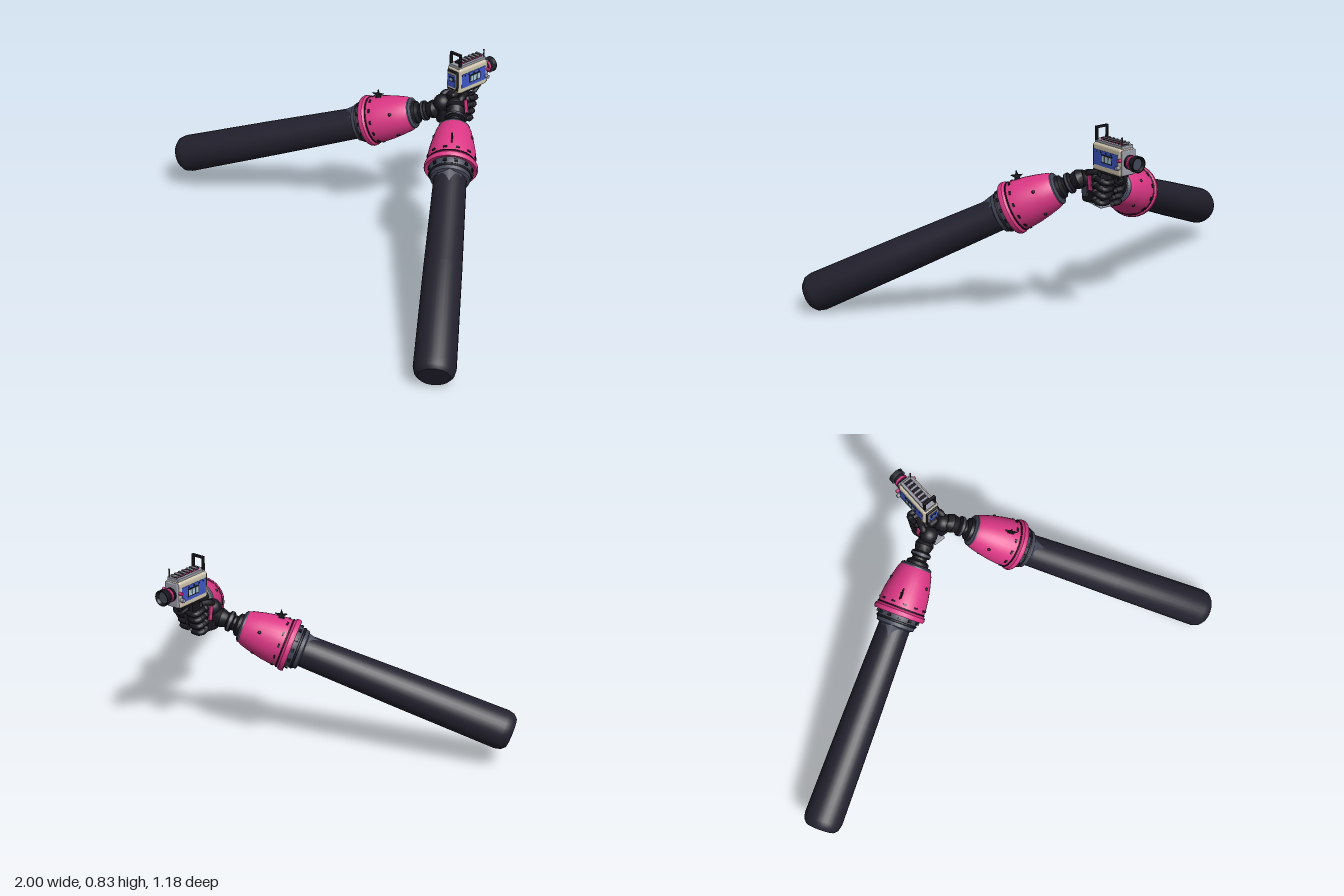
import * as THREE from 'three';
import { RoundedBoxGeometry } from 'three/addons/geometries/RoundedBoxGeometry.js';
import { toCreasedNormals } from 'three/addons/utils/BufferGeometryUtils.js';

const paint = (name, color) => {
  const m = new THREE.MeshStandardMaterial({ color, side: THREE.DoubleSide });
  m.name = name;
  return m;
};
const sleeveDark = paint('sleeve navy', 0x22212e), pink = paint('armour pink', 0xdc3785),
  slate = paint('slate', 0x424556), black = paint('glove black', 0x18181f),
  cream = paint('camera cream', 0xcfc6ae), blue = paint('panel blue', 0x3f56c6),
  glass = paint('screen pale blue', 0xa9cbd9), grey = paint('metal grey', 0x9b9ca8);

const V = (x, y, z) => new THREE.Vector3(x, y, z);
function add(parent, name, geo, mat, x = 0, y = 0, z = 0) {
  const m = new THREE.Mesh(geo, mat);
  m.name = name;
  m.position.set(x, y, z);
  parent.add(m);
  return m;
}
const box = (w, h, d) => new THREE.BoxGeometry(w, h, d);
const rbox = (w, h, d, r) => new RoundedBoxGeometry(w, h, d, 2, r);
const cyl = (a, b, h, n = 20) => new THREE.CylinderGeometry(a, b, h, n);
const lathe = (pts, n = 32) =>
  toCreasedNormals(new THREE.LatheGeometry(pts.map(p => new THREE.Vector2(...p)), n), 0.6);
const tube = (pts, r, n = 16) =>
  new THREE.TubeGeometry(new THREE.CatmullRomCurve3(pts, false, 'centripetal'), n, r, 8);

// One arm: local +y runs along the arm to the hand, +z is its upper side
function arm(name, start, end) {
  const g = new THREE.Group();
  g.name = name;
  const y = start.clone().sub(end).normalize();
  const z = V(0, 1, 0).addScaledVector(y, -y.y).normalize();
  g.quaternion.setFromRotationMatrix(new THREE.Matrix4().makeBasis(V().crossVectors(y, z), y, z));
  g.position.copy(start);
  const L = start.distanceTo(end);

  add(g, 'sleeve', lathe([[0, -L], [0.062, -L], [0.076, -L + 0.015], [0.082, -L + 0.04],
    [0.076, -L / 2], [0.067, -0.05], [0.067, 0.02]]), sleeveDark);
  add(g, 'cuff', lathe([[0.068, -0.05], [0.08, -0.045], [0.086, -0.015], [0.09, -0.005], [0.09, 0.02]]), slate);
  add(g, 'cuffWedge', cyl(0.07, 0.045, 0.11, 6), slate, 0, -0.045, 0.022);
  add(g, 'cuffRing', new THREE.TorusGeometry(0.083, 0.005, 8, 32), black, 0, -0.025, 0).rotation.x = Math.PI / 2;

  // Pink forearm guard
  add(g, 'guard', lathe([[0.09, 0.005], [0.106, 0], [0.11, 0.008], [0.109, 0.02], [0.1, 0.03], [0.1, 0.06],
    [0.095, 0.1], [0.085, 0.15], [0.073, 0.195], [0.064, 0.212], [0.045, 0.214]]), pink);
  add(g, 'guardSeam', new THREE.TorusGeometry(0.101, 0.003, 6, 40), black, 0, 0.032, 0).rotation.x = Math.PI / 2;
  add(g, 'guardCollar', lathe([[0.066, 0.205], [0.066, 0.215], [0.056, 0.222], [0.04, 0.222]]), slate);
  for (let i = 0; i < 12; i++) {
    const a = (i + 0.5) / 12 * Math.PI * 2;
    const slot = add(g, 'guardSlot', box(0.016, 0.008, 0.006), black, Math.sin(a) * 0.1, 0.05, Math.cos(a) * 0.1);
    slot.rotation.y = a;
    const stud = add(g, 'cuffStud', box(0.014, 0.012, 0.006), black, Math.sin(a) * 0.09, -0.008, Math.cos(a) * 0.09);
    stud.rotation.y = a;
  }
  for (const a of [-1.1, 1.1, 2.4, -2.4])
    add(g, 'guardRivet', new THREE.SphereGeometry(0.007, 8, 6), black, Math.sin(a) * 0.086, 0.14, Math.cos(a) * 0.086);

  // Small spiky star on the upper side
  const star = new THREE.Shape();
  for (let i = 0; i < 10; i++) {
    const r = i % 2 ? 0.01 : 0.027, a = i * Math.PI / 5;
    star[i ? 'lineTo' : 'moveTo'](Math.sin(a) * r, Math.cos(a) * r);
  }
  const starGeo = new THREE.ExtrudeGeometry(star, { depth: 0.006, bevelEnabled: false });
  add(g, 'starFin', starGeo, black, 0.003, 0.085, 0.108).rotation.y = -Math.PI / 2;

  // Ringed wrist
  add(g, 'wrist', lathe([[0.05, 0.21], [0.047, 0.235], [0.032, 0.245], [0.032, 0.255], [0.042, 0.26],
    [0.042, 0.275], [0.031, 0.282], [0.036, 0.295], [0.04, 0.31], [0.03, 0.335], [0, 0.335]], 20), black);
  add(g, 'wristBand', cyl(0.043, 0.043, 0.007), slate, 0, 0.268, 0);
  return g;
}

// Gloved hand; side is +1 for the left, -1 for the right
function hand(name, side, y0) {
  const g = new THREE.Group();
  g.name = name;
  g.position.set(0.145, y0, 0);
  const palm = add(g, 'palm', rbox(0.05, 0.12, 0.085, 0.016), black, side * 0.036, 0.595, -0.352);
  palm.rotation.x = 0.12;
  add(g, 'palmHeel', new THREE.SphereGeometry(0.038, 16, 12), black, side * 0.038, 0.625, -0.335);
  add(g, 'backPlate', rbox(0.008, 0.06, 0.02, 0.003), pink, side * 0.062, 0.62, -0.373).rotation.x = 0.12;
  add(g, 'backPad', rbox(0.008, 0.07, 0.035, 0.003), slate, side * 0.06, 0.595, -0.34).rotation.x = 0.12;
  for (let i = 0; i < 4; i++) {
    const y = 0.64 - i * 0.029, z = -0.45 + i * 0.009;
    add(g, 'finger', tube([V(side * 0.045, y + 0.006, -0.38), V(side * 0.053, y, z + 0.025),
      V(side * 0.046, y - 0.006, z), V(side * 0.01, y - 0.008, z)], 0.012), black);
    add(g, 'knuckle', new THREE.SphereGeometry(0.015, 10, 8), black, side * 0.05, y + 0.004, -0.392);
    add(g, 'fingerJoint', new THREE.SphereGeometry(0.0145, 10, 8), black, side * 0.051, y - 0.003, z + 0.014);
  }
  add(g, 'thumb', tube([V(side * 0.045, 0.625, -0.34), V(side * 0.05, 0.655, -0.355), V(side * 0.035, 0.66, -0.4)], 0.014), black);
  return g;
}

function camera() {
  const g = new THREE.Group();
  g.name = 'camera';
  g.position.set(0.145, 0.725, -0.442);
  add(g, 'body', rbox(0.076, 0.112, 0.168, 0.012), cream);
  add(g, 'rearPlate', rbox(0.06, 0.088, 0.012, 0.004), black, 0, 0, 0.084);
  add(g, 'rearFrame', box(0.05, 0.068, 0.006), cream, 0, 0, 0.09);
  add(g, 'rearPanel', box(0.04, 0.055, 0.006), blue, 0, 0, 0.092);
  add(g, 'rearScreen', box(0.024, 0.02, 0.006), black, 0, 0.008, 0.094);
  add(g, 'rearDisplay', box(0.016, 0.012, 0.006), glass, 0, 0.008, 0.0955);
  add(g, 'frontPlate', rbox(0.066, 0.1, 0.012, 0.004), grey, 0, 0, -0.086);

  // Painted side panels with display and buttons
  for (const s of [-1, 1]) {
    add(g, 'sidePanel', box(0.005, 0.062, 0.142), blue, s * 0.037, 0, 0);
    add(g, 'screenFrame', box(0.005, 0.034, 0.064), black, s * 0.0385, 0, -0.006);
    for (const z of [-0.026, -0.006, 0.014])
      add(g, 'screenCell', box(0.005, 0.024, 0.016), glass, s * 0.04, 0, z);
    for (const z of [-0.03, 0, 0.03, 0.055])
      add(g, 'button', box(0.005, 0.005, 0.007), black, s * 0.0385, 0.023, z);
    add(g, 'sideKnob', cyl(0.008, 0.008, 0.016, 10), grey, s * 0.045, -0.018, -0.075).rotation.z = Math.PI / 2;
    add(g, 'sideDial', cyl(0.007, 0.007, 0.014, 10), pink, s * 0.043, 0.012, -0.082).rotation.z = Math.PI / 2;
  }

  // Top rail, loop handle and antenna
  add(g, 'topPlate', box(0.056, 0.012, 0.16), grey, 0, 0.06, 0);
  add(g, 'topRail', box(0.03, 0.012, 0.13), black, 0, 0.068, -0.006);
  for (let i = 0; i < 6; i++) {
    add(g, 'railKnob', cyl(0.004, 0.004, 0.034, 8), pink, 0, 0.07, 0.05 - i * 0.022).rotation.z = Math.PI / 2;
    add(g, 'railCross', box(0.036, 0.004, 0.008), grey, 0, 0.074, 0.04 - i * 0.022);
  }
  for (const s of [-1, 1]) add(g, 'handlePost', box(0.007, 0.056, 0.012), black, s * 0.026, 0.09, 0.071);
  add(g, 'handleBar', box(0.059, 0.008, 0.012), black, 0, 0.114, 0.071);
  add(g, 'antenna', cyl(0.002, 0.003, 0.04, 8), slate, 0.022, 0.078, -0.075);
  add(g, 'antennaTip', new THREE.SphereGeometry(0.004, 8, 6), black, 0.022, 0.096, -0.075);

  // Lens barrel pointing backward
  const lens = new THREE.Group();
  lens.name = 'lens';
  lens.rotation.x = -Math.PI / 2;
  lens.position.set(0, 0.003, -0.088);
  g.add(lens);
  add(lens, 'barrel', lathe([[0.027, 0], [0.029, 0.012], [0.025, 0.014], [0.025, 0.04], [0.031, 0.044],
    [0.033, 0.06], [0.029, 0.06], [0.024, 0.048], [0, 0.048]], 24), black);
  add(lens, 'focusRing', cyl(0.029, 0.029, 0.009, 24), pink, 0, 0.023, 0);
  add(lens, 'hoodRing', cyl(0.033, 0.033, 0.004, 24), slate, 0, 0.042, 0);
  add(lens, 'glass', new THREE.CircleGeometry(0.022, 24), slate, 0, 0.0495, 0).rotation.x = -Math.PI / 2;

  // Curved cable and grip below
  add(g, 'cable', tube([V(0, -0.04, -0.07), V(0, -0.075, -0.07), V(0, -0.095, -0.045), V(0, -0.09, 0)], 0.008), black);
  add(g, 'underPlate', box(0.05, 0.012, 0.13), black, 0, -0.06, 0.005);
  add(g, 'grip', rbox(0.046, 0.15, 0.05, 0.012), black, 0, -0.125, 0.072).rotation.x = 0.12;
  add(g, 'gripCap', rbox(0.054, 0.014, 0.09, 0.004), grey, 0, -0.199, 0.088).rotation.x = -0.12;
  add(g, 'gripBand', box(0.05, 0.012, 0.055), slate, 0, -0.165, 0.085);
  return g;
}

export function createModel() {
  const model = new THREE.Group();
  model.name = 'armsHoldingCamera';
  model.add(
    arm('leftArm', V(0.39, 0.487, -0.1), V(0.942, 0.072, 0.542)),
    arm('rightArm', V(-0.185, 0.475, -0.185), V(-0.968, 0.165, 0.235)),
    hand('leftHand', 1, 0),
    hand('rightHand', -1, -0.01),
    camera());
  return model;
}
